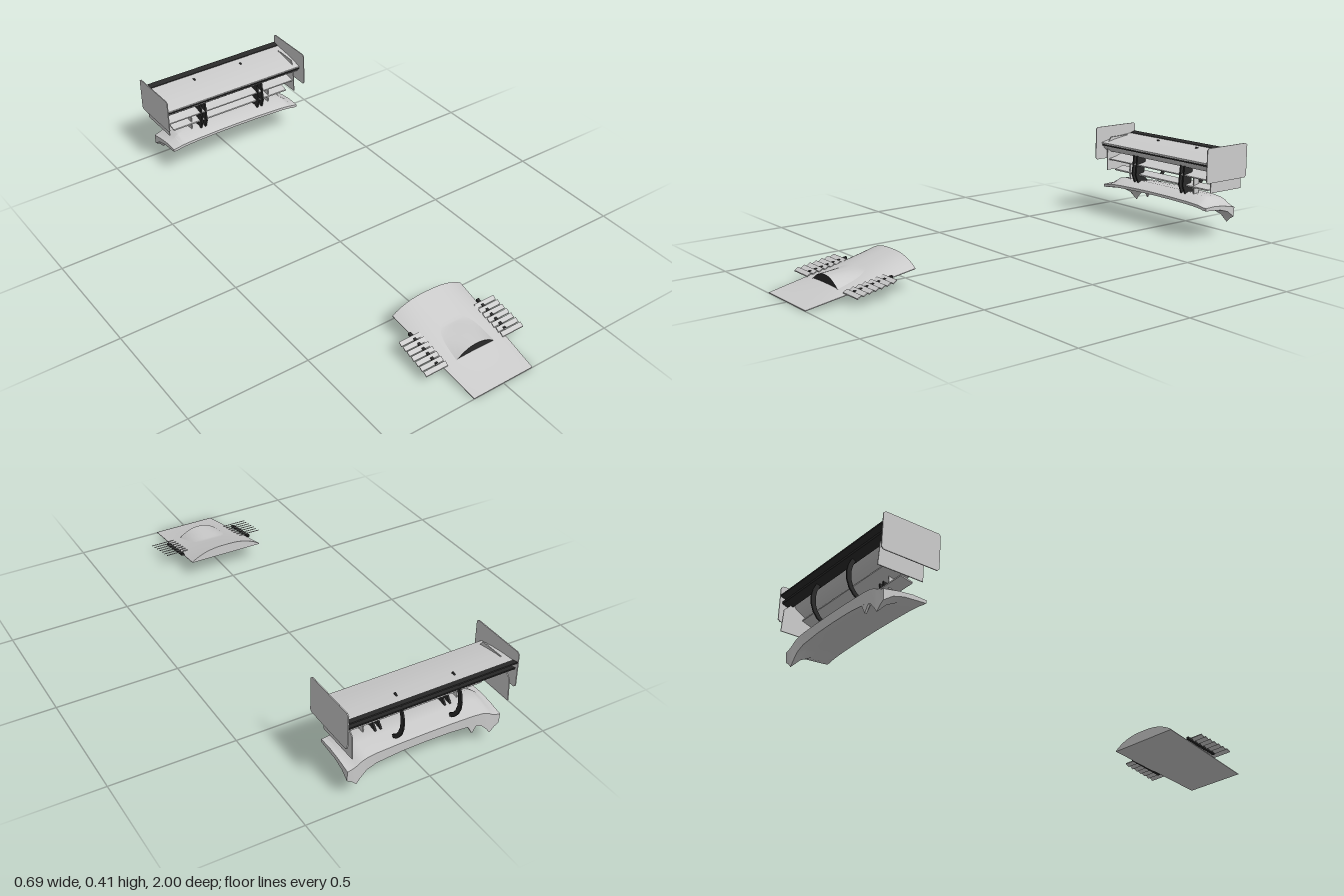
import * as THREE from 'three';
import { toCreasedNormals } from 'three/addons/utils/BufferGeometryUtils.js';

const grey = new THREE.MeshStandardMaterial({ color: 0xcccccc, side: THREE.DoubleSide });
const dark = new THREE.MeshStandardMaterial({ color: 0x2a2a2a, side: THREE.DoubleSide });

function add(parent, name, geo, mat = grey) {
  const mesh = new THREE.Mesh(geo, mat);
  mesh.name = name;
  parent.add(mesh);
  return mesh;
}

// Side profile given as [z, y] points, extruded along x and centred on x
function profile(points, x, width) {
  const shape = new THREE.Shape(points.map(p => new THREE.Vector2(p[0], p[1])));
  const geo = new THREE.ExtrudeGeometry(shape, { depth: width, bevelEnabled: false });
  geo.rotateY(-Math.PI / 2);
  geo.translate(x + width / 2, 0, 0);
  return toCreasedNormals(geo, 0.5);
}

// Skin over a list of cross-sections; closed rings also get end caps
function loft(sections, closed = true) {
  const pos = [], index = [], n = sections[0].length;
  sections.forEach(s => s.forEach(p => pos.push(...p)));
  for (let i = 0; i < sections.length - 1; i++) {
    for (let j = 0; j < (closed ? n : n - 1); j++) {
      const k = (j + 1) % n, a = i * n + j, b = i * n + k;
      index.push(a, a + n, b, b, a + n, b + n);
    }
  }
  if (closed) {
    [0, sections.length - 1].forEach((row, end) => {
      const s = sections[row];
      const flat = s.every(p => Math.abs(p[2] - s[0][2]) < 1e-6);
      const contour = s.map(p => new THREE.Vector2(flat ? p[0] : p[2], p[1]));
      THREE.ShapeUtils.triangulateShape(contour, []).forEach(f => {
        const t = f.map(v => v + row * n);
        index.push(...((end === 0) === flat ? t : t.reverse()));
      });
    });
  }
  const geo = new THREE.BufferGeometry();
  geo.setAttribute('position', new THREE.Float32BufferAttribute(pos, 3));
  geo.setIndex(index);
  geo.computeVertexNormals();
  return toCreasedNormals(geo, 0.6);
}

// Hood: flat sloping base with a crown that grows toward the back
const baseY = z => 0.003 + (1 - z) * 0.186;
const halfWidth = z => 0.137 + (1 - z) * 0.06;
function hoodTop(x, z) {
  const s = (1 - z) / 0.44, u = Math.min(1, Math.abs(x) / halfWidth(z));
  return baseY(z) + 0.003 + 0.042 * Math.pow(s, 1.5) * (1 - Math.pow(u, 2.6));
}

function buildHood() {
  const hood = new THREE.Group();
  hood.name = 'hood';

  const rings = [];
  for (let i = 0; i <= 14; i++) {
    const z = 1 - 0.44 * i / 14, w = halfWidth(z), ring = [];
    for (let j = 0; j <= 20; j++) {
      const x = w * (1 - j / 10);
      ring.push([x, hoodTop(x, z), z]);
    }
    ring.push([-w, baseY(z), z], [w, baseY(z), z]);
    rings.push(ring);
  }
  add(hood, 'hoodPanel', loft(rings));

  // Scoop: arched mouth fading into the hood behind it
  const rows = [];
  for (let i = 0; i <= 16; i++) {
    const t = Math.sin(i / 16 * Math.PI / 2), z = 0.845 - 0.155 * t, row = [];
    const w = (0.09 - 0.015 * t) * Math.pow(Math.max(0, 1 - t ** 5), 0.5);
    const crest = Math.max(0, 0.077 + 0.007 * t - hoodTop(0, z)) * (1 - t ** 8);
    for (let j = 0; j <= 20; j++) {
      const u = 1 - j / 10, x = u * w;
      row.push([x, hoodTop(x, z) + 0.001 + crest * (1 - Math.abs(u) ** 2.2), z]);
    }
    rows.push(row);
  }
  add(hood, 'scoop', loft(rows, false));
  const floor = rows[0].map(p => [p[0], hoodTop(p[0], p[2]) + 0.001, p[2] - 0.004]);
  add(hood, 'scoopMouth', loft([rows[0].map(p => [p[0], p[1] - 0.001, p[2] - 0.004]), floor], false), dark);

  // Louvre slats stepping up the slope on both sides
  for (const side of [-1, 1]) {
    const louvres = new THREE.Group();
    louvres.name = side > 0 ? 'leftLouvres' : 'rightLouvres';
    for (let i = 0; i < 7; i++) {
      const z = 0.837 - i * 0.025, y = 0.038 + i * 0.0046;
      const inner = side * 0.13, outer = side * (0.229 - i * 0.0008);
      const slat = profile([[z + 0.008, y], [z + 0.008, y + 0.004], [z - 0.008, y + 0.014], [z - 0.008, y + 0.01]],
        (inner + outer) / 2, Math.abs(outer - inner));
      add(louvres, 'slat', slat);
    }
    add(louvres, 'louvreRail', profile([[0.82, 0.04], [0.82, 0.05], [0.66, 0.079], [0.66, 0.069]], side * 0.162, 0.012), dark);
    hood.add(louvres);
  }
  return hood;
}

function buildDeck() {
  // Rear deck stations: x, front edge, ridge, rear lip, lower rear edge, underside
  const half = [
    [0, 0.162, 0.187, 0.170, 0.130, 0.145],
    [0.1, 0.161, 0.187, 0.169, 0.128, 0.143],
    [0.2, 0.158, 0.185, 0.166, 0.119, 0.136],
    [0.24, 0.156, 0.183, 0.161, 0.104, 0.130],
    [0.265, 0.154, 0.179, 0.152, 0.078, 0.125],
    [0.28, 0.152, 0.168, 0.142, 0.058, 0.122],
    [0.3, 0.148, 0.152, 0.134, 0.078, 0.124],
    [0.318, 0.147, 0.149, 0.130, 0.088, 0.128]
  ];
  const stations = half.slice(1).reverse().map(s => [-s[0], ...s.slice(1)]).concat(half);
  const rings = stations.map(([x, front, ridge, lip, low, under]) => [
    [x, front, -0.79], [x, ridge, -0.845], [x, ridge - 0.006, -0.9], [x, lip, -0.965],
    [x, low, -0.962], [x, (low + under) / 2 + 0.007, -0.925], [x, under, -0.88], [x, front - 0.012, -0.79]
  ]);
  const deck = new THREE.Group();
  deck.name = 'rearDeck';
  add(deck, 'deckPanel', loft(rings));
  // Extra drooping tab on the right side
  add(deck, 'rightTab', loft([-0.225, -0.202, -0.18].map((x, i) => {
    const y = [0.12, 0.084, 0.122][i];
    return [[x, 0.14, -0.962], [x, y, -0.96], [x, y, -0.952], [x, 0.14, -0.94]];
  })));
  return deck;
}

function buildWing() {
  const wing = new THREE.Group();
  wing.name = 'rearWing';

  // Main plane: light upper skin, dark belly below, dark trailing flap
  add(wing, 'mainPlane', profile([[-0.795, 0.331], [-0.795, 0.336], [-0.85, 0.348], [-0.91, 0.357], [-0.97, 0.362],
    [-0.97, 0.357], [-0.91, 0.350], [-0.85, 0.341]], 0, 0.682));
  add(wing, 'wingBelly', profile([[-0.798, 0.331], [-0.808, 0.31], [-0.83, 0.294], [-0.86, 0.287], [-0.9, 0.294],
    [-0.94, 0.318], [-0.968, 0.354], [-0.91, 0.349], [-0.85, 0.340]], 0, 0.68));
  add(wing, 'leadingLip', profile([[-0.797, 0.322], [-0.797, 0.328], [-0.812, 0.328], [-0.812, 0.322]], 0, 0.684), dark);
  add(wing, 'trailingFlap', profile([[-0.968, 0.354], [-0.972, 0.364], [-0.998, 0.370], [-0.998, 0.364]], 0, 0.682), dark);
  add(wing, 'rearRail', profile([[-0.955, 0.322], [-0.96, 0.332], [-0.99, 0.342], [-0.988, 0.334]], 0, 0.68), dark);

  // Lower slats
  add(wing, 'upperSlat', profile([[-0.82, 0.256], [-0.82, 0.261], [-0.86, 0.268], [-0.91, 0.284], [-0.91, 0.279], [-0.86, 0.261]], 0, 0.638));
  add(wing, 'lowerSlat', profile([[-0.83, 0.211], [-0.83, 0.217], [-0.88, 0.228], [-0.88, 0.223]], 0, 0.578));

  for (const side of [-1, 1]) {
    // End plates
    add(wing, 'endPlate', profile([[-0.76, 0.268], [-0.76, 0.4], [-0.768, 0.408], [-0.99, 0.408], [-0.999, 0.4],
      [-0.999, 0.268], [-0.99, 0.26], [-0.768, 0.26]], side * 0.343, 0.004));
    add(wing, 'innerPlate', profile([[-0.81, 0.21], [-0.81, 0.33], [-0.83, 0.36], [-0.93, 0.362], [-0.99, 0.3], [-0.995, 0.21]],
      side * 0.32, 0.004));
    // Slat supports
    add(wing, 'slatStrut', profile([[-0.84, 0.172], [-0.835, 0.26], [-0.87, 0.268], [-0.865, 0.172]], side * 0.197, 0.005));
    // Main mounts
    for (const x of [0.134, 0.156]) {
      add(wing, 'mainStrut', profile([[-0.83, 0.172], [-0.812, 0.215], [-0.82, 0.3], [-0.87, 0.3], [-0.86, 0.215], [-0.89, 0.172]],
        side * x, 0.007), dark);
    }
    // Curved rear neck
    const neck = [], inner = [];
    for (let i = 0; i <= 8; i++) {
      const a = -1.2 + 2.5 * i / 8;
      neck.push([-0.905 - 0.088 * Math.cos(a), 0.27 + 0.1 * Math.sin(a)]);
      inner.unshift([-0.905 - 0.07 * Math.cos(a), 0.27 + 0.086 * Math.sin(a)]);
    }
    add(wing, 'curvedNeck', profile(neck.concat(inner), side * 0.118, 0.006), dark);
  }
  return wing;
}

export function createModel() {
  const model = new THREE.Group();
  model.name = 'bodyKit';
  model.add(buildHood(), buildDeck(), buildWing());
  return model;
}
